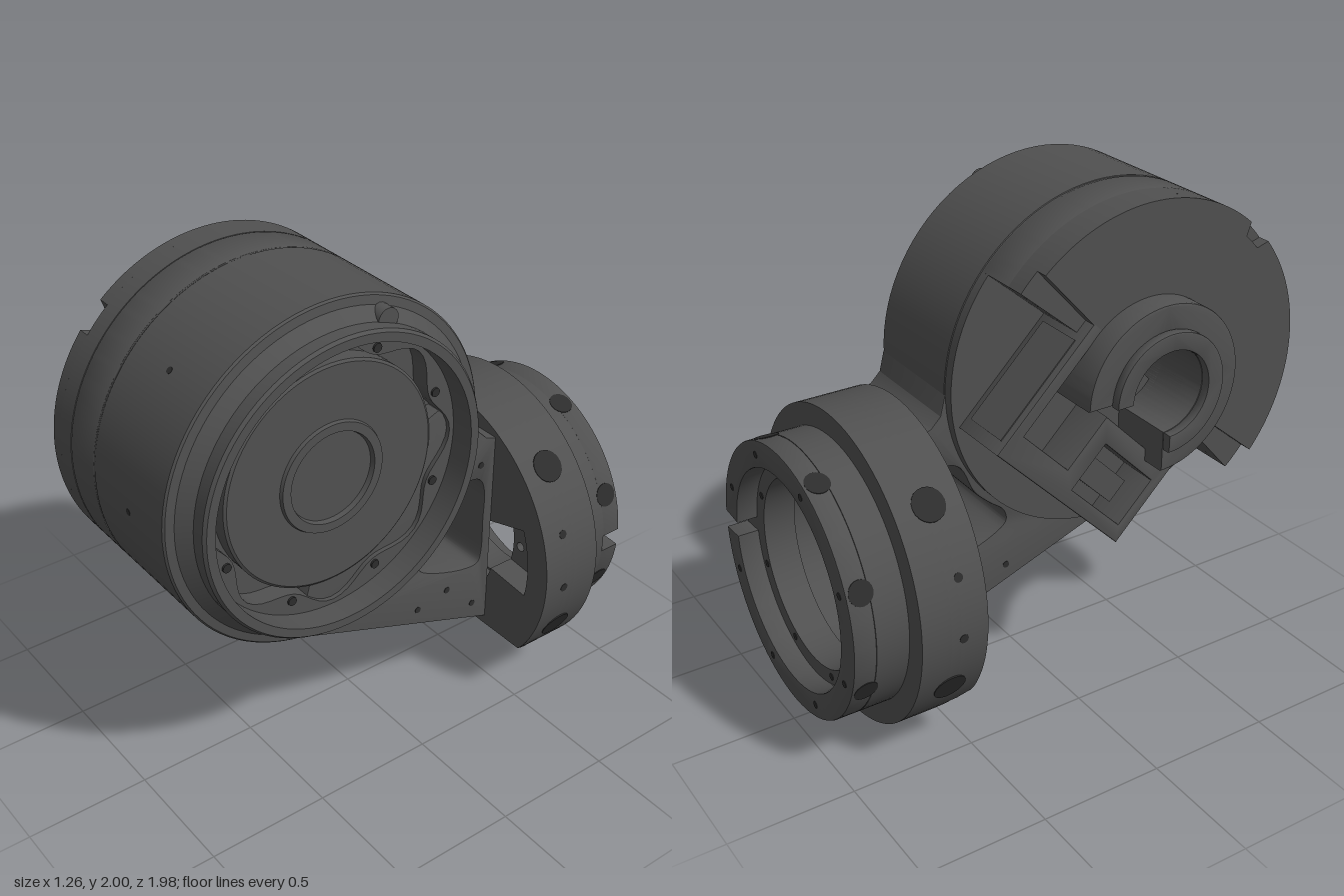
import * as THREE from 'three';
import { toCreasedNormals } from 'three/addons/utils/BufferGeometryUtils.js';

const body = new THREE.MeshStandardMaterial({ color: 0x505050 });
const dark = new THREE.MeshStandardMaterial({ color: 0x2c2c2c });
const DEG = Math.PI / 180;
const AXIS_Y = 1.31, AXIS_Z = 0.3;   // drum axis, parallel to x
const RING_Y = 0.635;                // flange axis, parallel to z

// Points on an arc whose radius may depend on the angle in degrees
function arc(cx, cy, radius, a0 = 0, a1 = 360, n = 96) {
  const pts = [];
  for (let i = 0; i <= n; i++) {
    const a = a0 + (a1 - a0) * i / n;
    const r = typeof radius === 'function' ? radius(a) : radius;
    pts.push(new THREE.Vector2(cx + r * Math.cos(a * DEG), cy + r * Math.sin(a * DEG)));
  }
  return pts;
}
const vecs = (list) => list.map(([x, y]) => new THREE.Vector2(x, y));
const sector = (cx, cy, rOut, rIn, a0, a1) =>
  new THREE.Shape([...arc(cx, cy, rOut, a0, a1), ...arc(cx, cy, rIn, a0, a1).reverse()]);

function ring(cx, cy, rOut, rIn, extraHoles = []) {
  const s = new THREE.Shape(arc(cx, cy, rOut).slice(0, -1));
  s.holes = [arc(cx, cy, rIn).slice(0, -1), ...extraHoles].map((p) => new THREE.Path(p));
  return s;
}

function extrude(shape, depth, bevel = 0, steps = 1) {
  const g = new THREE.ExtrudeGeometry(shape, {
    depth: depth - 2 * bevel, steps, curveSegments: 24, bevelEnabled: bevel > 0,
    bevelSize: bevel, bevelThickness: bevel, bevelOffset: -bevel, bevelSegments: 2,
  });
  return g.translate(0, 0, bevel);
}

// Outline drawn as (-z, y), extruded along x from x0 to x1
const extrudeX = (shape, x0, x1, bevel = 0) =>
  extrude(shape, x1 - x0, bevel).rotateY(Math.PI / 2).translate(x0, 0, 0);
// Outline drawn as (x, y), extruded along z from z0 to z1
const extrudeZ = (shape, z0, z1, bevel = 0, steps = 1) =>
  extrude(shape, z1 - z0, bevel, steps).translate(0, 0, z0);

export function createModel() {
  const model = new THREE.Group();
  const add = (name, geo, mat = body, parent = model) => {
    const mesh = new THREE.Mesh(toCreasedNormals(geo, 0.5), mat);
    mesh.name = name;
    parent.add(mesh);
    return mesh;
  };
  const group = (name) => {
    const g = new THREE.Group();
    g.name = name;
    model.add(g);
    return g;
  };
  // Short round plug pointing along a direction
  const plug = (parent, name, pos, dir, r, h = 0.008, mat = dark) => {
    const m = add(name, new THREE.CylinderGeometry(r, r, h, 20), mat, parent);
    m.position.set(...pos);
    m.quaternion.setFromUnitVectors(new THREE.Vector3(0, 1, 0), new THREE.Vector3(...dir).normalize());
  };

  // Motor drum with a chamfered rim around a deep recess and a centre disc
  const drum = new THREE.LatheGeometry(vecs([
    [0, -0.17], [0.685, -0.17], [0.69, -0.165], [0.69, 0.285], [0.683, 0.293], [0.65, 0.298],
    [0.605, 0.345], [0.605, 0.4], [0.595, 0.412], [0.56, 0.412], [0.56, 0.23], [0.455, 0.23],
    [0.455, 0.295], [0.445, 0.302], [0.225, 0.302], [0.22, 0.315], [0.185, 0.315], [0.18, 0.295], [0, 0.295],
  ]), 96).rotateZ(-Math.PI / 2).translate(0, AXIS_Y, AXIS_Z);
  add('drum', drum);

  // Scalloped clamp ring and its screws inside the rim, and the locating plug
  const cu = -AXIS_Z, cv = AXIS_Y;
  const scallop = (a) => 0.507 + 0.035 * Math.cos(8 * a * DEG);
  add('clampRing', extrudeX(ring(cu, cv, 0.565, scallop), 0.22, 0.31));
  const screws = group('capScrews');
  for (let i = 0; i < 8; i++) {
    const a = (22.5 + 45 * i) * DEG;
    plug(screws, 'screw', [0.312, AXIS_Y + 0.5 * Math.sin(a), AXIS_Z + 0.5 * Math.cos(a)], [1, 0, 0], 0.018, 0.012);
  }
  plug(screws, 'locatingPlug', [0.32, AXIS_Y + 0.58, AXIS_Z - 0.21], [1, 0, 0], 0.043, 0.06, body);

  // Right cover: stacked partial discs, open toward the lower back
  const notch = (a) => (Math.abs(a - 135) < 4.5 ? 0.64 : 0.69);
  add('coverFloor', extrudeX(new THREE.Shape(arc(cu, cv, 0.688).slice(0, -1)), -0.21, -0.169));
  add('coverInner', extrudeX(sector(cu, cv, 0.69, 0.17, 40, 229), -0.34, -0.175, 0.006));
  add('coverMiddle', extrudeX(sector(cu, cv, 0.69, 0.17, 40, 229), -0.42, -0.34));
  add('coverOuter', extrudeX(sector(cu, cv, notch, 0.17, 48, 220), -0.47, -0.42));

  // C-shaped hub on the cover
  add('hubBase', extrudeX(sector(cu, cv, 0.335, 0.17, 0, 270), -0.57, -0.21, 0.008));
  add('hubLip', extrudeX(sector(cu, cv, 0.24, 0.17, 0, 270), -0.61, -0.57, 0.006));

  // Connector housing set diagonally in the cover opening, from the hub to the rim
  const diag = (along, across) => {
    const k = Math.SQRT1_2;
    return new THREE.Vector2(cu + k * (along + across), cv + k * (across - along));
  };
  const rect = (a0, a1, b0, b1) => [diag(a0, b0), diag(a1, b0), diag(a1, b1), diag(a0, b1)];
  const housing = new THREE.Shape([
    diag(0.02, -0.38), diag(0.55, -0.38), diag(0.55, 0.38), diag(-0.03, 0.38), diag(-0.03, 0.33),
    diag(0.44, 0.33), diag(0.44, 0.06), diag(0.2, 0.06), diag(0.2, -0.2), diag(0.02, -0.3),
  ]);
  housing.holes.push(new THREE.Path(rect(0.28, 0.49, -0.33, -0.02)));
  add('connectorHousing', extrudeX(housing, -0.47, -0.21, 0.006));
  add('housingFloor', extrudeX(new THREE.Shape(rect(-0.03, 0.5, -0.36, 0.36)), -0.3, -0.2));
  add('housingPanel', extrudeX(new THREE.Shape(rect(0.06, 0.5, 0.37, 0.384)), -0.44, -0.24));
  add('connectorSocket', extrudeX(new THREE.Shape(rect(0.34, 0.44, -0.29, -0.06)), -0.4, -0.29));

  // Arm joining the drum to the flange, with a rounded triangular window
  const arm = new THREE.Shape(vecs([
    [-0.46, 0.643], [0.5, 0.295], [0.5, 1.17], [0.45, 1.19], [0.41, 1.23], [0.39, 1.31], [0.2, 1.4], [-0.3, 1.2],
  ]));
  const windowCurve = new THREE.CatmullRomCurve3([
    [0.14, 0.75], [0.13, 0.7], [0.19, 0.655], [0.38, 0.595], [0.44, 0.6], [0.455, 0.65], [0.455, 0.8],
    [0.455, 0.94], [0.43, 1.0], [0.38, 1.015], [0.33, 0.99], [0.27, 0.87], [0.2, 0.8],
  ].map(([u, v]) => new THREE.Vector3(u, v, 0)), true);
  arm.holes.push(new THREE.Path(windowCurve.getPoints(60).slice(0, -1).map((p) => new THREE.Vector2(p.x, p.y))));
  add('arm', extrudeX(arm, -0.17, 0.292, 0.006));

  // Small screw holes on the drum and the arm
  const pins = group('pinHoles');
  for (const a of [-45, 0, 45]) {
    const s = Math.sin(a * DEG), c = Math.cos(a * DEG);
    plug(pins, 'drumPin', [0.06, AXIS_Y + 0.687 * s, AXIS_Z + 0.687 * c], [0, s, c], 0.013);
  }
  for (const x of [-0.05, 0.17]) {
    for (const y of [0.39, 0.47, 0.55]) {
      plug(pins, 'armPin', [x, y, -0.5 + (y - 0.295) / 0.3625], [0, -0.94, 0.34], 0.015);
    }
  }
  for (const [z, y] of [[-0.43, 1.07], [-0.13, 0.5], [-0.28, 0.53], [-0.42, 0.4]]) {
    for (const [x, d] of [[0.29, 1], [-0.168, -1]]) plug(pins, 'sidePin', [x, y, z], [d, 0, 0], 0.014);
  }

  // Front collar of the flange; its lower edge is scooped away
  const scoop = (z) => {
    const t = Math.min(1, (-0.5 - z) / 0.235);
    return 0.25 * (1 - t) + 0.08 * t * (1 - t) + 0.005;
  };
  const scooped = (geo) => {
    const p = geo.attributes.position;
    for (let i = 0; i < p.count; i++) p.setY(i, Math.max(p.getY(i), scoop(p.getZ(i))));
    geo.computeVertexNormals();
    return geo;
  };
  const through = [-1, 1].map((s) => arc(s * 0.36, 0.64, 0.02, 0, 360, 16).slice(0, -1));
  // Deep side pockets beside the bore
  const pocket = (a) => {
    const b = a > 90 && a < 270 ? 180 - a : a > 180 ? a - 360 : a;
    return b > -15 && b < 26 ? 0.52 : 0.32;
  };
  add('collar', scooped(extrudeZ(ring(0, RING_Y, 0.63, 0.385), -0.77, -0.65, 0, 6)));
  add('collarPlate', scooped(extrudeZ(ring(0, RING_Y, 0.63, 0.32, through), -0.65, -0.61, 0, 2)));
  add('collarFace', scooped(extrudeZ(ring(0, RING_Y, 0.63, pocket), -0.61, -0.5, 0, 5)));

  // Rear ring with a slotted lip
  add('rearRing', extrudeZ(ring(0, RING_Y, 0.54, 0.375), -0.9, -0.77));
  add('rearLip', extrudeZ(sector(0, RING_Y, 0.54, 0.435, 4, 356), -0.988, -0.9, 0.005));

  // Radial sockets and face holes around the flange
  const sockets = group('flangeSockets');
  const radial = (name, deg, r, z, size, h = 0.014) => {
    const c = Math.cos(deg * DEG), s = Math.sin(deg * DEG);
    plug(sockets, name, [r * c, RING_Y + r * s, z], [c, s, 0], size, h);
  };
  for (const a of [44, 136, 205, 335]) radial('collarSocket', a, 0.622, -0.63, 0.065, 0.02);
  for (const a of [-3, 19, 161, 183]) radial('collarPin', a, 0.626, -0.6, 0.018, 0.01);
  for (let i = 0; i < 8; i++) {
    const a = 22.5 + 45 * i, c = Math.cos(a * DEG), s = Math.sin(a * DEG);
    radial('ringSocket', a, 0.534, -0.93, 0.048);
    plug(sockets, 'lipHole', [0.485 * c, RING_Y + 0.485 * s, -0.986], [0, 0, -1], 0.014);
    plug(sockets, 'ledgeHole', [0.405 * c, RING_Y + 0.405 * s, -0.899], [0, 0, -1], 0.014);
  }
  for (const x of [-0.03, 0.16]) plug(sockets, 'scoopSocket', [x, 0.185, -0.583], [0, -0.7, 0.72], 0.055, 0.01);

  return model;
}
